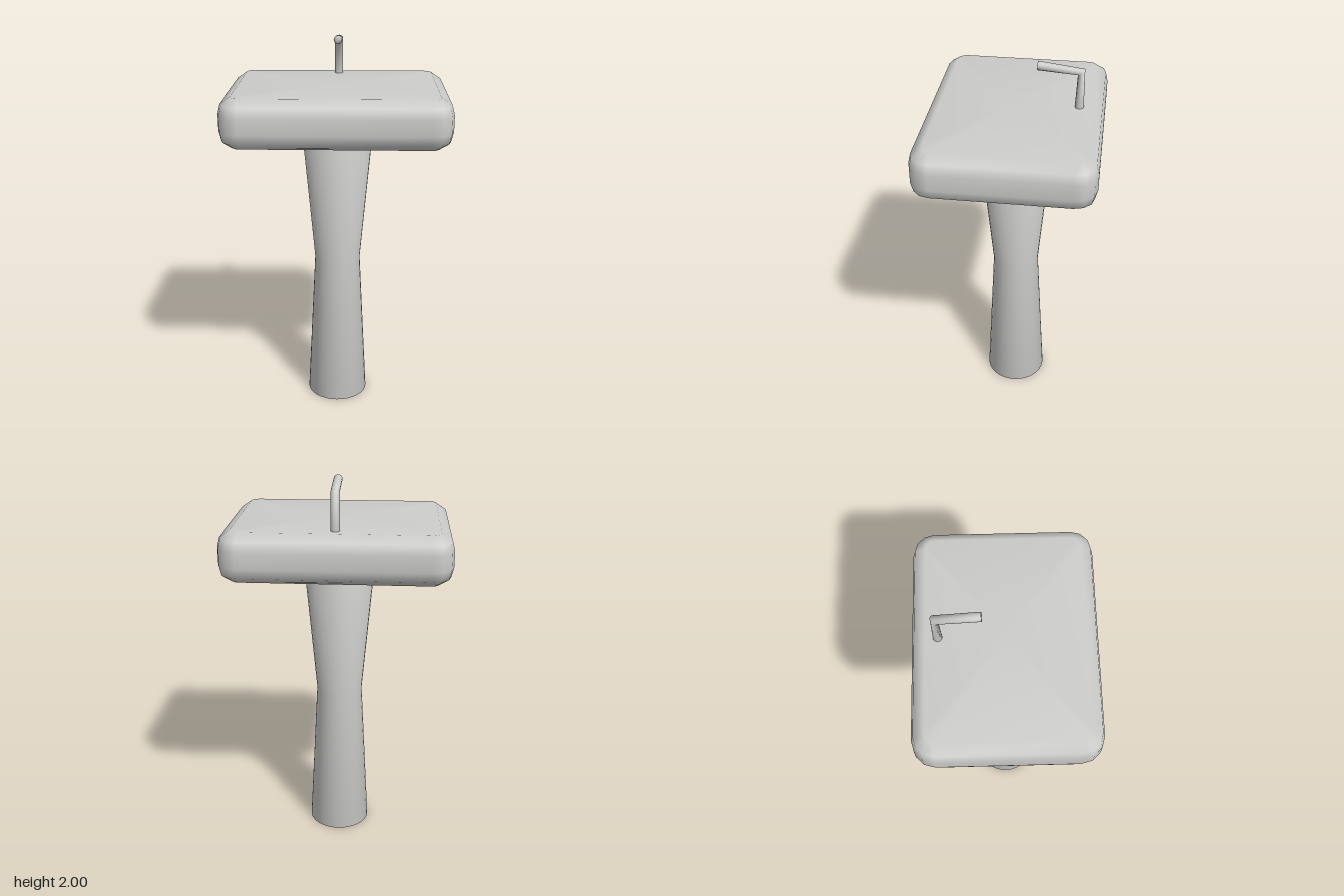
import * as THREE from 'three';

// Smooth closed skin through equal-length rings of points, with centre-fan caps.
function loft(rings, startCentre, endCentre) {
  const n = rings[0].length, pos = [], idx = [];
  rings.forEach(r => r.forEach(p => pos.push(...p)));
  for (let k = 0; k < rings.length - 1; k++) {
    for (let i = 0; i < n; i++) {
      const j = (i + 1) % n, a = k * n + i, b = k * n + j;
      idx.push(a, b, b + n, a, b + n, a + n);
    }
  }
  const s = pos.length / 3, e = s + 1, last = (rings.length - 1) * n;
  pos.push(...startCentre, ...endCentre);
  for (let i = 0; i < n; i++) {
    const j = (i + 1) % n;
    idx.push(s, j, i, e, last + i, last + j);
  }
  const g = new THREE.BufferGeometry();
  g.setAttribute('position', new THREE.Float32BufferAttribute(pos, 3));
  g.setIndex(idx);
  g.computeVertexNormals();
  return g;
}

// Rounded rectangle, counter-clockwise seen from above.
function basinRing(inset, y) {
  const pts = [], r = 0.104 - inset;
  [[1, -1], [-1, -1], [-1, 1], [1, 1]].forEach(([sx, sz], q) => {
    for (let k = 0; k <= 3; k++) {
      const a = q * Math.PI / 2 + k * Math.PI / 6;
      pts.push([sx * 0.462 + r * Math.cos(a), y, sz * 0.328 - r * Math.sin(a)]);
    }
  });
  return pts;
}

// Circle in a plane tilted about x; tilt 0 points up, 90 degrees points forward.
function pipeRing(y, z, tilt, r = 0.022, n = 16) {
  return Array.from({ length: n }, (_, i) => {
    const a = i / n * Math.PI * 2, d = -r * Math.sin(a);
    return [r * Math.cos(a), y - d * Math.sin(tilt), z + d * Math.cos(tilt)];
  });
}

export function createModel() {
  const group = new THREE.Group();
  const ceramic = new THREE.MeshStandardMaterial({ color: 0xcccccb });
  ceramic.name = 'ceramicGrey';
  const add = (name, geometry) => {
    const mesh = new THREE.Mesh(geometry, ceramic);
    mesh.name = name;
    group.add(mesh);
  };

  // Waisted round pedestal
  const profile = [[0, 0], [0.164, 0], [0.122, 0.82], [0.185, 1.535], [0, 1.535]];
  add('pedestal', new THREE.LatheGeometry(profile.map(p => new THREE.Vector2(...p)), 32));

  // Solid basin block with softened rim
  const levels = [[0.064, 1.527], [0.012, 1.562], [0, 1.61], [0, 1.69], [0.012, 1.738], [0.064, 1.773]];
  add('basin', loft(levels.map(l => basinRing(...l)), [0, 1.527, 0], [0, 1.773, 0]));

  // Bent tap: upright and spout joined at a single angled ring
  add('tap', loft([
    pipeRing(1.765, -0.308, 0),
    pipeRing(1.957, -0.311, 0.72),
    pipeRing(1.978, -0.103, 1.5),
  ], [0, 1.765, -0.308], [0, 1.978, -0.103]));

  return group;
}
